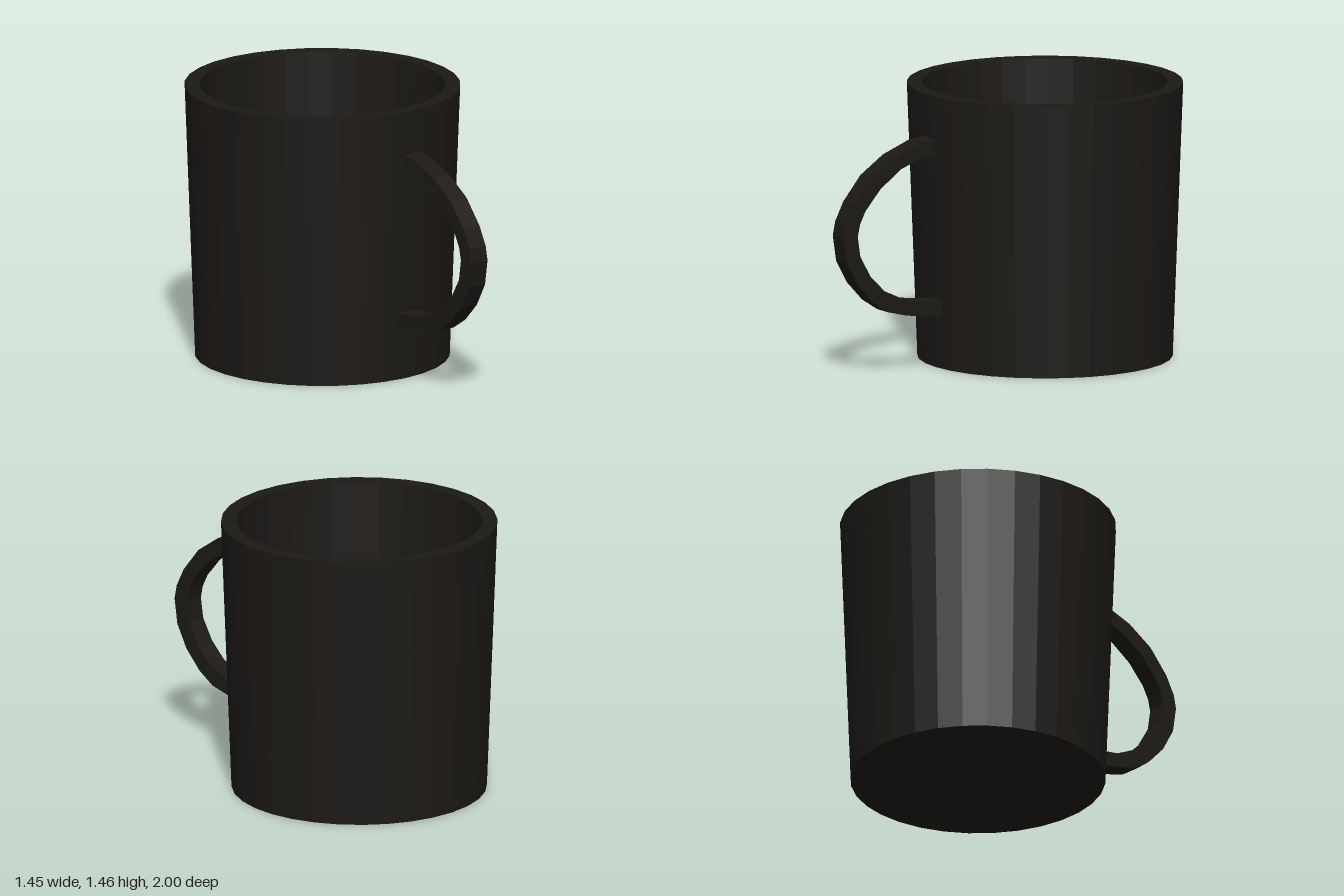
import * as THREE from 'three';

const material = new THREE.MeshStandardMaterial({ color: 0x1c1916, flatShading: true });
const v2 = ([x, y]) => new THREE.Vector2(x, y);

// Tapered cup: underside, outer wall, rim, inner wall, floor
function makeCup() {
  const profile = [[0, 0], [0.67, 0], [0.725, 1.46], [0.645, 1.46], [0.605, 0.08], [0, 0.08]];
  const cup = new THREE.Mesh(new THREE.LatheGeometry(profile.map(v2), 32), material);
  cup.name = 'cup';
  cup.position.z = -0.275;
  return cup;
}

// Flat C-shaped handle, outlined in (z, y) and extruded across x; its ends sit inside the wall
function makeHandle() {
  const width = 0.11;
  const outer = [[0.39, 1.23], [0.45, 1.23], [0.53, 1.22], [0.69, 1.157], [0.83, 1.06], [0.935, 0.93],
    [0.985, 0.83], [1, 0.755], [0.98, 0.62], [0.914, 0.497], [0.82, 0.396], [0.727, 0.335],
    [0.62, 0.308], [0.487, 0.286], [0.36, 0.28]];
  const inner = [[0.36, 0.366], [0.487, 0.369], [0.61, 0.385], [0.749, 0.45], [0.834, 0.535], [0.898, 0.647],
    [0.914, 0.755], [0.9, 0.82], [0.866, 0.888], [0.775, 0.995], [0.647, 1.09], [0.51, 1.14], [0.39, 1.145]];
  const shape = new THREE.Shape([...outer, ...inner].map(v2));
  const geometry = new THREE.ExtrudeGeometry(shape, { depth: width, bevelEnabled: false });
  geometry.translate(0, 0, -width / 2).rotateY(-Math.PI / 2);
  const handle = new THREE.Mesh(geometry, material);
  handle.name = 'handle';
  return handle;
}

export function createModel() {
  const mug = new THREE.Group();
  mug.name = 'mug';
  mug.add(makeCup(), makeHandle());
  return mug;
}
